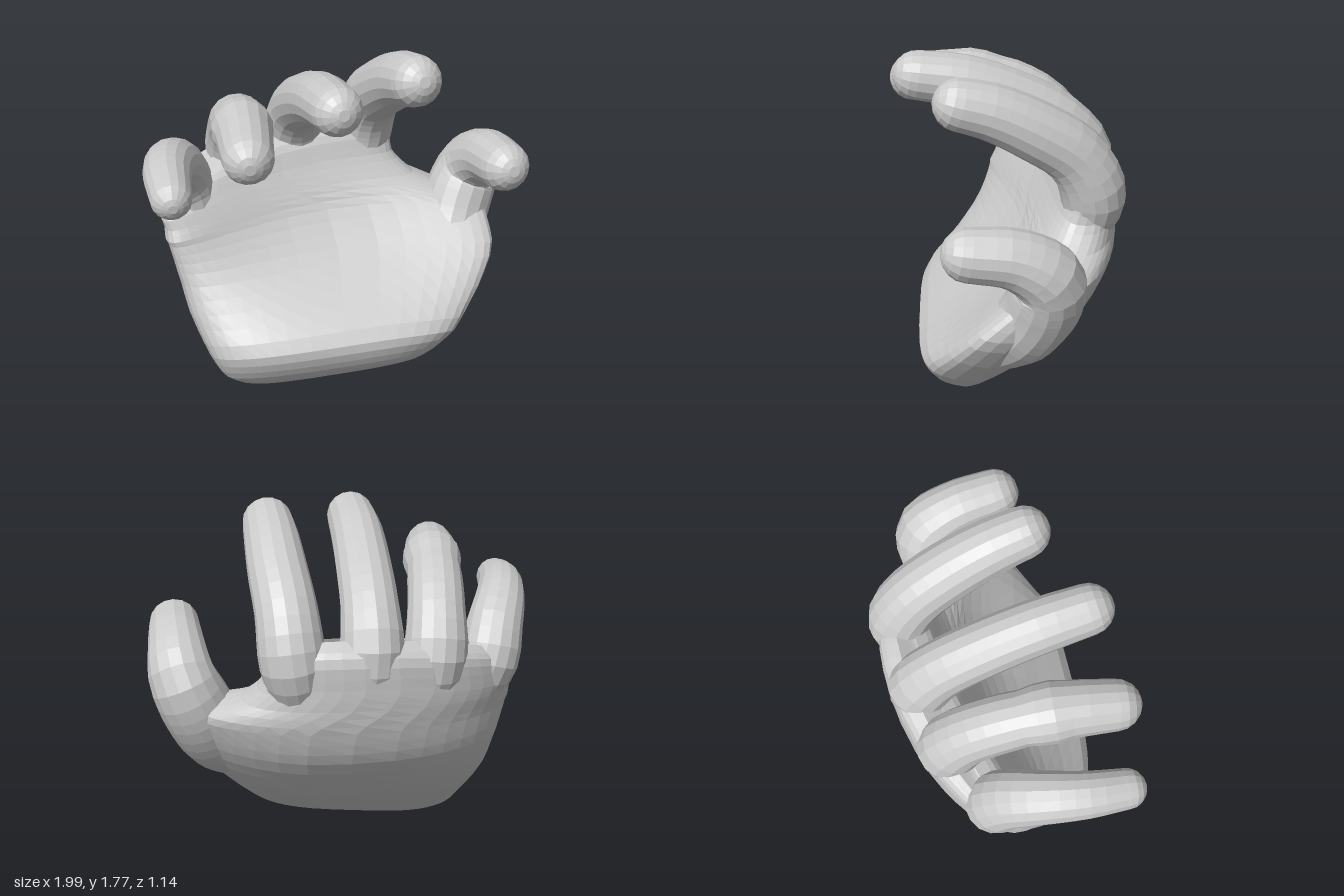
import * as THREE from 'three';

const material = new THREE.MeshStandardMaterial({ color: 0xcccccc, flatShading: true });
const V = (a) => new THREE.Vector3(...a);
const spline = (points) => new THREE.CatmullRomCurve3(points.map(V));

// Closed skin over a list of rings, each running counter-clockwise around the loft direction
function skin(name, rings) {
  const n = rings[0].length;
  const pts = rings.flat();
  const index = [];
  for (let i = 0; i < rings.length - 1; i++) {
    for (let j = 0; j < n; j++) {
      const a = i * n + j, b = i * n + (j + 1) % n;
      index.push(a, b, a + n, b, b + n, a + n);
    }
  }
  const centre = (ring) => ring.reduce((s, p) => s.add(p), new THREE.Vector3()).divideScalar(n);
  const start = pts.push(centre(rings[0])) - 1;
  const end = pts.push(centre(rings[rings.length - 1])) - 1;
  const last = (rings.length - 1) * n;
  for (let j = 0; j < n; j++) {
    const k = (j + 1) % n;
    index.push(start, k, j, end, last + j, last + k);
  }
  const geometry = new THREE.BufferGeometry().setFromPoints(pts);
  geometry.setIndex(index);
  geometry.computeVertexNormals();
  const mesh = new THREE.Mesh(geometry, material);
  mesh.name = name;
  return mesh;
}

// Tapered bent finger that grows out of the palm and ends in a round tip; path points are [x, y, z, radius]
function finger(name, path, sides = 16, steps = 20) {
  const curve = spline(path.map((p) => p.slice(0, 3)));
  const radii = spline(path.map((p) => [p[3], 0, 0]));
  const frames = curve.computeFrenetFrames(steps);
  const rings = [];
  const addRing = (c, r, i) => {
    const ring = [];
    for (let j = 0; j < sides; j++) {
      const a = (j / sides) * Math.PI * 2;
      ring.push(c.clone()
        .addScaledVector(frames.normals[i], r * Math.cos(a))
        .addScaledVector(frames.binormals[i], r * Math.sin(a)));
    }
    rings.push(ring);
  };
  for (let i = 0; i <= steps; i++) {
    const u = i / steps;
    addRing(curve.getPointAt(u), radii.getPoint(curve.getUtoTmapping(u)).x, i);
  }
  const tip = curve.getPoint(1), r = path[path.length - 1][3];
  for (const a of [0.35, 0.7, 1.05, 1.35]) {
    const c = tip.clone().addScaledVector(frames.tangents[steps], r * Math.sin(a));
    addRing(c, r * Math.cos(a), steps);
  }
  return skin(name, rings);
}

// Cupped palm with the thumb mound, lofted from the heel up to the knuckles
function palm() {
  // front y, front z, back y, back z, right edge x, left edge x, cupping right, cupping left, knuckle slope
  const rows = [
    [0.02, 0.25, 0.00, 0.20, -0.32, 0.20, 0, 0, 0],
    [0.06, 0.35, 0.00, 0.15, -0.50, 0.36, 0, 0, 0],
    [0.16, 0.43, 0.04, 0.07, -0.63, 0.47, 0, 0.05, 0],
    [0.31, 0.46, 0.13, -0.05, -0.70, 0.58, 0.02, 0.2, 0],
    [0.49, 0.26, 0.33, -0.27, -0.77, 0.74, 0.08, 0.34, 0],
    [0.66, 0.05, 0.58, -0.47, -0.81, 0.86, 0.16, 0.36, 0],
    [0.82, -0.09, 0.77, -0.54, -0.84, 0.86, 0.21, 0.32, 0.04],
    [0.93, -0.15, 0.90, -0.56, -0.85, 0.55, 0.21, 0.22, 0.08],
    [1.04, -0.21, 1.01, -0.565, -0.86, 0.45, 0.21, 0.2, 0.12],
    [1.16, -0.27, 1.17, -0.55, -0.82, 0.44, 0.20, 0.2, 0.18],
    [1.21, -0.36, 1.23, -0.46, -0.74, 0.39, 0.18, 0.2, 0.20],
  ];
  const front = spline(rows.map((r) => [0, r[0], r[1]]));
  const back = spline(rows.map((r) => [0, r[2], r[3]]));
  const edges = spline(rows.map((r) => [r[4], r[5], 0]));
  const bend = spline(rows.map((r) => r.slice(6)));
  const round = (v) => Math.sign(v) * Math.abs(v) ** 0.72;
  const rings = [];
  const steps = 30, sides = 40;
  for (let i = 0; i <= steps; i++) {
    const t = i / steps;
    const f = front.getPoint(t), b = back.getPoint(t), e = edges.getPoint(t), k = bend.getPoint(t);
    const ring = [];
    for (let j = 0; j < sides; j++) {
      const a = (j / sides) * Math.PI * 2;
      const p = f.clone().lerp(b, 0.5 + 0.5 * round(Math.sin(a)));
      p.x = (e.x + e.y) / 2 + ((e.y - e.x) / 2) * round(Math.cos(a));
      const d = p.x - 0.1;
      p.z += (d < 0 ? k.x : k.y) * (d / 0.85) ** 2 + 0.15 * p.x * (1 - t) ** 2;
      p.y += 0.1 * (p.x + 0.25) * (1 - t) ** 4 - k.z * d * d;
      ring.push(p);
    }
    rings.push(ring);
  }
  return skin('palm', rings);
}

export function createModel() {
  const hand = new THREE.Group();
  hand.name = 'hand';
  hand.add(
    palm(),
    finger('indexFinger', [
      [0.20, 0.65, -0.26, 0.06], [0.27, 0.92, -0.37, 0.13], [0.305, 1.13, -0.405, 0.165],
      [0.32, 1.33, -0.31, 0.155], [0.34, 1.48, -0.11, 0.15], [0.35, 1.59, 0.10, 0.14],
      [0.355, 1.635, 0.25, 0.13],
    ]),
    finger('middleFinger', [
      [-0.05, 0.65, -0.26, 0.06], [-0.07, 0.92, -0.37, 0.13], [-0.085, 1.15, -0.405, 0.16],
      [-0.09, 1.33, -0.29, 0.145], [-0.095, 1.47, -0.06, 0.14], [-0.10, 1.57, 0.20, 0.135],
      [-0.10, 1.61, 0.43, 0.125],
    ]),
    finger('ringFinger', [
      [-0.30, 0.62, -0.20, 0.06], [-0.38, 0.88, -0.31, 0.13], [-0.41, 1.10, -0.35, 0.16],
      [-0.43, 1.28, -0.25, 0.145], [-0.46, 1.40, -0.05, 0.14], [-0.49, 1.445, 0.19, 0.14],
      [-0.53, 1.43, 0.44, 0.125],
    ]),
    finger('littleFinger', [
      [-0.52, 0.57, -0.09, 0.06], [-0.66, 0.83, -0.16, 0.12], [-0.72, 1.01, -0.20, 0.155],
      [-0.76, 1.15, -0.13, 0.145], [-0.82, 1.24, 0.01, 0.13], [-0.87, 1.27, 0.20, 0.115],
      [-0.89, 1.25, 0.39, 0.1],
    ]),
    finger('thumb', [
      [0.42, 0.34, 0.16, 0.08], [0.56, 0.44, 0.09, 0.14], [0.68, 0.60, -0.03, 0.18],
      [0.76, 0.78, -0.11, 0.185], [0.83, 0.95, -0.12, 0.17], [0.85, 1.07, 0.03, 0.145],
      [0.855, 1.11, 0.25, 0.13],
    ], 16, 22),
  );
  return hand;
}
